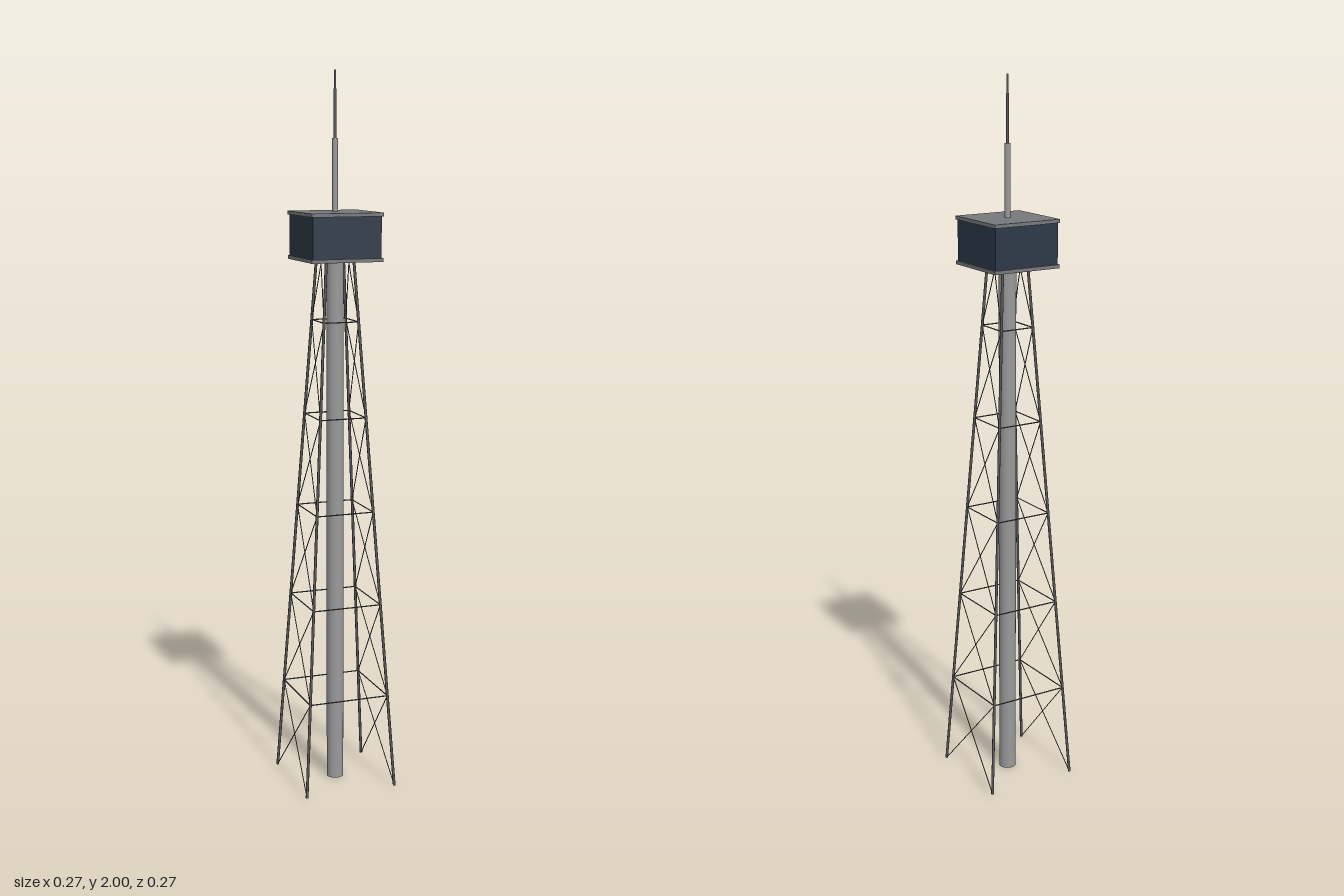
import * as THREE from 'three';

export function createModel() {
  const root = new THREE.Group();
  root.name = 'latticeTower';
  const mat = (color) => new THREE.MeshStandardMaterial({ color });
  const concrete = mat(0x999999), steel = mat(0x555555), glass = mat(0x2c3947), roofGrey = mat(0x77797c);

  const add = (name, geometry, material, y = 0, parent = root) => {
    const mesh = new THREE.Mesh(geometry, material);
    mesh.name = name;
    mesh.position.y = y;
    parent.add(mesh);
    return mesh;
  };
  // upright cylinder standing between two heights
  const post = (name, r, y0, y1, material, sides = 16) =>
    add(name, new THREE.CylinderGeometry(r, r, y1 - y0, sides), material, (y0 + y1) / 2);
  // thin round bar between two points
  const bar = (name, a, b, r, parent, sides = 6) => {
    const dir = b.clone().sub(a);
    const mesh = add(name, new THREE.CylinderGeometry(r, r, dir.length(), sides), steel, 0, parent);
    mesh.position.copy(a).add(b).multiplyScalar(0.5);
    mesh.quaternion.setFromUnitVectors(new THREE.Vector3(0, 1, 0), dir.normalize());
  };

  // Tapering lattice around the core
  const bays = 6, top = 1.59, baseHalf = 0.132, topHalf = 0.034;
  const corners = [[1, 1], [1, -1], [-1, -1], [-1, 1]];
  const node = (corner, level) => {
    const half = THREE.MathUtils.lerp(baseHalf, topHalf, level / bays);
    const [sx, sz] = corners[corner % 4];
    return new THREE.Vector3(sx * half, top * level / bays, sz * half);
  };
  const legs = new THREE.Group();
  legs.name = 'legs';
  const rings = new THREE.Group();
  rings.name = 'horizontalRings';
  const braces = new THREE.Group();
  braces.name = 'crossBraces';
  root.add(legs, rings, braces);
  for (let c = 0; c < 4; c++) {
    bar('leg', node(c, 0), node(c, bays), 0.004, legs, 10);
    for (let level = 0; level < bays; level++) {
      if (level > 0) bar('ringBar', node(c, level), node(c + 1, level), 0.0017, rings);
      // crossed diagonals on the two side faces only
      if (c % 2 === 0) {
        bar('brace', node(c, level), node(c + 1, level + 1), 0.0013, braces);
        bar('brace', node(c + 1, level), node(c, level + 1), 0.0013, braces);
      }
    }
  }

  // Central shaft
  post('coreShaft', 0.024, 0, 1.5, concrete, 24);

  // Square cabin between floor and roof slabs
  add('cabinFloor', new THREE.BoxGeometry(0.204, 0.01, 0.204), roofGrey, 1.496);
  add('cabin', new THREE.BoxGeometry(0.196, 0.115, 0.196), glass, 1.557);
  add('cabinRoof', new THREE.BoxGeometry(0.204, 0.01, 0.204), roofGrey, 1.618);

  // Stepped antenna
  post('antennaBase', 0.008, 1.62, 1.82, concrete);
  post('antennaMast', 0.0045, 1.82, 1.95, steel, 10);
  post('antennaTip', 0.0025, 1.95, 2, concrete, 8);

  return root;
}
